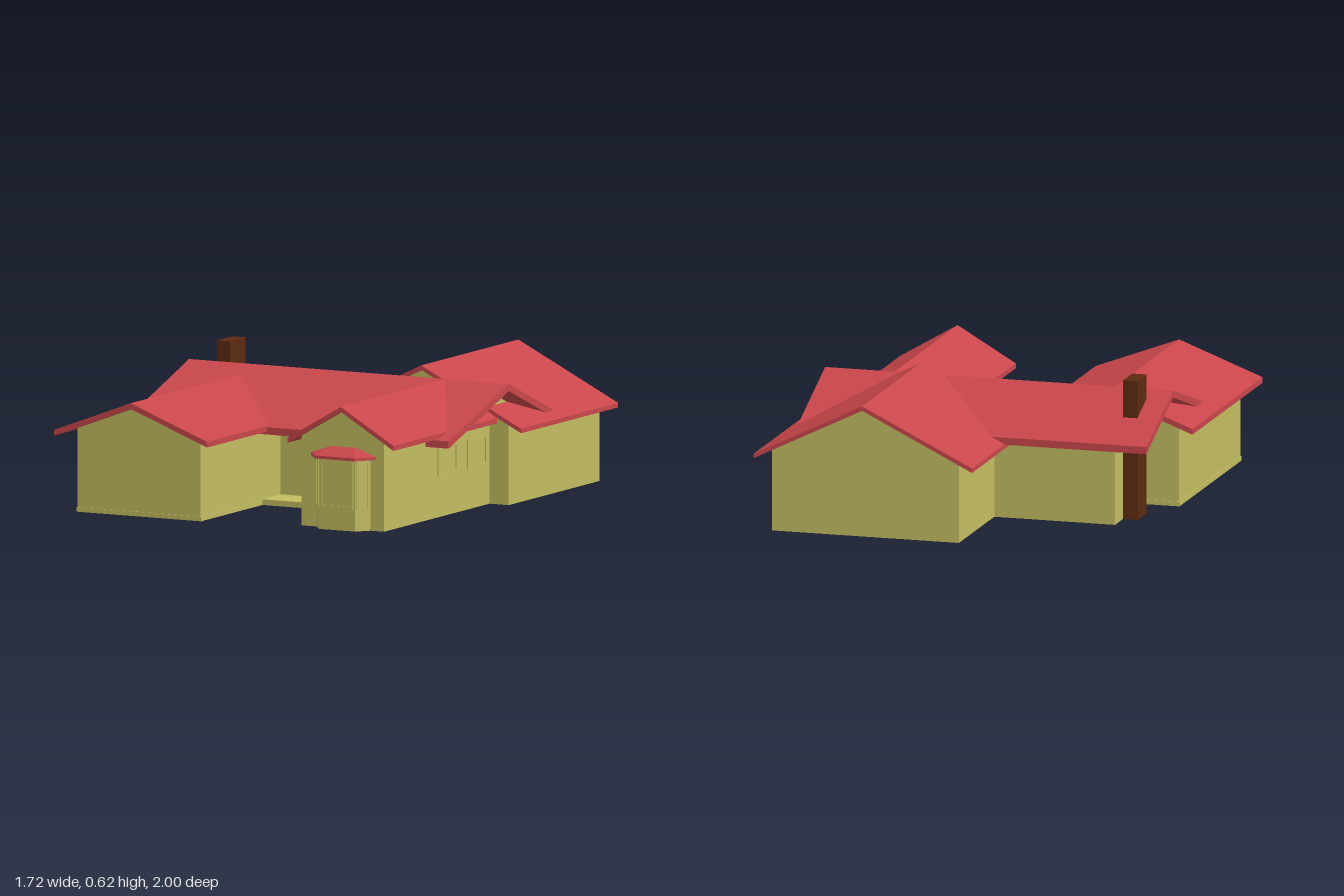
import * as THREE from 'three';
import { ConvexGeometry } from 'three/addons/geometries/ConvexGeometry.js';

const paint = (color) => new THREE.MeshStandardMaterial({ color, flatShading: true, side: THREE.DoubleSide });

export function createModel() {
  const house = new THREE.Group();
  house.name = 'house';
  const wallMat = paint(0xc2bc60), roofMat = paint(0xc8464b), brickMat = paint(0x5c2a10);

  const add = (name, geometry, material, parent = house) => {
    const mesh = new THREE.Mesh(geometry, material);
    mesh.name = name;
    parent.add(mesh);
    return mesh;
  };
  const shapeOf = (pts) => new THREE.Shape(pts.map(([x, y]) => new THREE.Vector2(x, y)));

  // Profile in the (across, y) plane swept from one end to the other; alongX turns it to run along x
  const sweep = (pts, from, to, alongX) => {
    const g = new THREE.ExtrudeGeometry(shapeOf(pts), { depth: to - from, bevelEnabled: false });
    g.translate(0, 0, from);
    if (alongX) g.rotateY(Math.PI / 2);
    return g;
  };
  const box = (name, x0, x1, y0, y1, z0, z1, mat) => {
    const g = new THREE.BoxGeometry(x1 - x0, y1 - y0, z1 - z0);
    g.translate((x0 + x1) / 2, (y0 + y1) / 2, (z0 + z1) / 2);
    return add(name, g, mat);
  };

  // Roof: across position and height of left eave, ridge and right eave, with a vertical thickness t
  const topAt = (r, u) => {
    const [e, h] = u < r.ridge[0] ? r.left : r.right;
    return r.ridge[1] + (h - r.ridge[1]) * (u - r.ridge[0]) / (e - r.ridge[0]);
  };
  const roof = (name, r) => {
    const top = [r.left, r.ridge, r.right];
    const under = top.map(([u, y]) => [u, y - r.t]).reverse();
    add(name, sweep([...top, ...under], r.from, r.to, r.alongX), roofMat);
  };
  // Walls with a gable that fits under the given roof
  const walls = (name, r, a, b, from, to) => {
    const drop = r.t * 0.7;
    const pts = [[a, 0], [b, 0], [b, topAt(r, b) - drop]];
    if (a < r.ridge[0] && b > r.ridge[0]) pts.push([r.ridge[0], r.ridge[1] - drop]);
    pts.push([a, topAt(r, a) - drop]);
    add(name, sweep(pts, from, to, r.alongX), wallMat);
  };

  // For the main roof the across position is -z
  const main = { left: [-0.45, 0.357], ridge: [0.1, 0.54], right: [0.505, 0.375], t: 0.032, from: -0.785, to: 0.8, alongX: true };
  const garage = { left: [-0.86, 0.363], ridge: [-0.48, 0.507], right: [-0.1, 0.363], t: 0.025, from: -0.06, to: 1 };
  const front = { left: [0.22, 0.385], ridge: [0.485, 0.539], right: [0.745, 0.385], t: 0.022, from: -0.095, to: 0.855 };
  const back = { left: [-0.14, 0.345], ridge: [0.36, 0.59], right: [0.855, 0.345], t: 0.02, from: -1, to: -0.11 };

  roof('mainRoof', main);
  roof('garageRoof', garage);
  roof('frontWingRoof', front);
  roof('backWingRoof', back);

  walls('mainWallsLeft', main, -0.2, 0.43, -0.62, 0.085);
  walls('mainWallsRight', main, -0.37, 0.43, 0.085, 0.685);
  walls('garageWalls', garage, -0.78, -0.17, 0, 0.93);
  walls('frontWingWalls', front, 0.275, 0.685, 0.05, 0.83);
  walls('backWingWalls', back, -0.07, 0.78, -0.965, -0.135);

  // Slabs at the ground
  box('garageSlab', -0.784, -0.166, 0, 0.02, -0.004, 0.934, wallMat);
  box('porchSlab', -0.17, 0.085, 0, 0.025, 0.15, 0.37, wallMat);

  // Chimney standing against the left wall
  box('chimney', -0.685, -0.62, 0, 0.62, -0.31, -0.17, brickMat);

  // Window: a raised frame around the pane, facing +z before it is turned
  const windowFrame = (name, w, h, x, y, z, turn) => {
    const s = shapeOf([[-w / 2, -h / 2], [w / 2, -h / 2], [w / 2, h / 2], [-w / 2, h / 2]]);
    const f = 0.011;
    s.holes.push(new THREE.Path([
      [-w / 2 + f, -h / 2 + f], [-w / 2 + f, h / 2 - f], [w / 2 - f, h / 2 - f], [w / 2 - f, -h / 2 + f],
    ].map(([a, b]) => new THREE.Vector2(a, b))));
    const m = add(name, new THREE.ExtrudeGeometry(s, { depth: 0.005, bevelEnabled: false }), wallMat);
    m.position.set(x, y, z);
    m.rotation.y = turn;
  };
  for (const z of [0.253, -0.018]) windowFrame('sideWindow', 0.176, 0.13, 0.685, 0.245, z, Math.PI / 2);

  // Bay window with three faces
  const plan = [[0.35, -0.82], [0.35, -0.83], [0.395, -0.888], [0.573, -0.888], [0.618, -0.83], [0.618, -0.82]];
  const bay = new THREE.ExtrudeGeometry(shapeOf(plan), { depth: 0.32, bevelEnabled: false });
  bay.rotateX(-Math.PI / 2);
  add('bayWindow', bay, wallMat);
  windowFrame('bayFrontWindow', 0.16, 0.215, 0.484, 0.203, 0.888, 0);
  for (const s of [-1, 1]) {
    windowFrame('baySideWindow', 0.062, 0.215, 0.484 + s * 0.1115, 0.203, 0.859, s * Math.atan2(0.058, 0.045));
  }

  // Bay roof: an eave slab rising to a short ridge at the wall
  const eave = [[0.32, 0.825], [0.385, 0.912], [0.583, 0.912], [0.648, 0.825]];
  const pts = eave.flatMap(([x, z]) => [0.313, 0.326].map((y) => new THREE.Vector3(x, y, z)));
  for (const x of [0.425, 0.543]) pts.push(new THREE.Vector3(x, 0.36, 0.825), new THREE.Vector3(x, 0.36, 0.835));
  add('bayRoof', new ConvexGeometry(pts), roofMat);

  return house;
}
